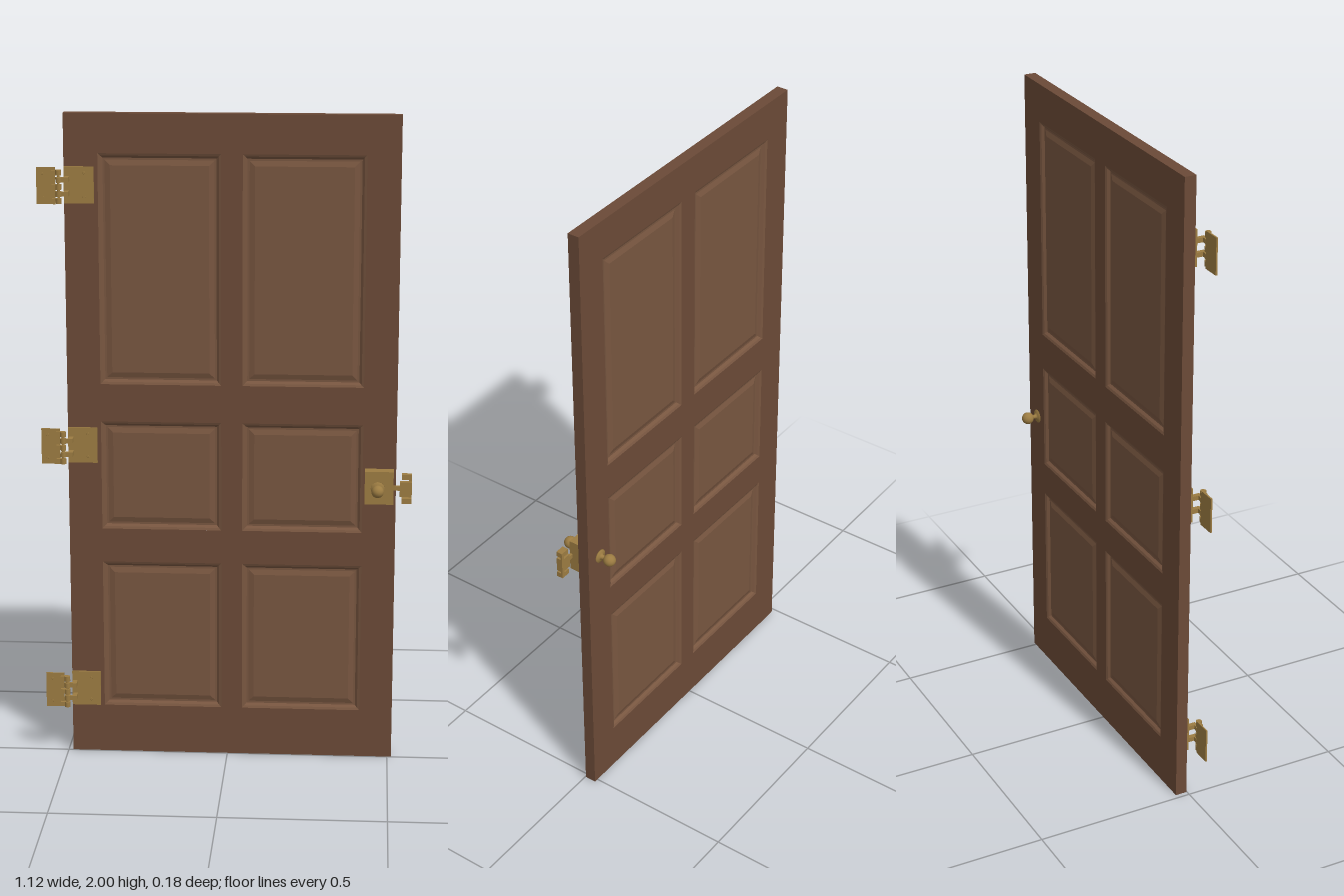
import * as THREE from 'three';

const wood = new THREE.MeshStandardMaterial({ color: 0x6b4a37 });
const panelWood = new THREE.MeshStandardMaterial({ color: 0x785640 });
const brass = new THREE.MeshStandardMaterial({ color: 0x9c7c42 });

function add(parent, name, geometry, material, x = 0, y = 0, z = 0) {
  const mesh = new THREE.Mesh(geometry, material);
  mesh.name = name;
  mesh.position.set(x, y, z);
  parent.add(mesh);
  return mesh;
}

// Box given by its limits on each axis
function block(parent, name, [x0, x1], [y0, y1], [z0, z1], material = brass) {
  return add(parent, name, new THREE.BoxGeometry(x1 - x0, y1 - y0, z1 - z0), material,
    (x0 + x1) / 2, (y0 + y1) / 2, (z0 + z1) / 2);
}

// Stepped rectangular panel: each step is [inset, depth], closed by a flat field
function panelGeometry(w, h, steps) {
  const loops = steps.map(([inset, depth]) => {
    const a = w / 2 - inset, b = h / 2 - inset;
    return [[-a, -b, -depth], [a, -b, -depth], [a, b, -depth], [-a, b, -depth]];
  });
  const pos = [];
  const quad = (a, b, c, d) => pos.push(...a, ...b, ...c, ...a, ...c, ...d);
  for (let s = 0; s < loops.length - 1; s++) {
    for (let i = 0; i < 4; i++) {
      const j = (i + 1) % 4;
      quad(loops[s][i], loops[s][j], loops[s + 1][j], loops[s + 1][i]);
    }
  }
  quad(...loops[loops.length - 1]);
  const geo = new THREE.BufferGeometry();
  geo.setAttribute('position', new THREE.Float32BufferAttribute(pos, 3));
  geo.computeVertexNormals();
  return geo;
}

function makeDoor() {
  const door = new THREE.Group();
  door.name = 'door';
  door.position.set(0.0135, 0, -0.02);
  const W = 0.998, T = 0.036, panelW = 0.366;
  const rows = [[0.152, 0.622], [0.728, 1.067], [1.183, 1.882]];
  const steps = [[0, 0], [0.007, 0.003], [0.014, 0.010], [0.02, 0.010], [0.036, 0.005]];

  const outline = new THREE.Shape();
  outline.moveTo(-W / 2, 0).lineTo(W / 2, 0).lineTo(W / 2, 2).lineTo(-W / 2, 2).closePath();
  for (const [y0, y1] of rows) {
    for (const cx of [-0.215, 0.215]) {
      const a = cx - panelW / 2, b = cx + panelW / 2;
      const hole = new THREE.Path();
      hole.moveTo(a, y0).lineTo(a, y1).lineTo(b, y1).lineTo(b, y0).closePath();
      outline.holes.push(hole);
      // The same sunk panel on both faces
      const geo = panelGeometry(panelW, y1 - y0, steps);
      add(door, 'frontPanel', geo, panelWood, cx, (y0 + y1) / 2, T / 2);
      add(door, 'backPanel', geo, panelWood, cx, (y0 + y1) / 2, -T / 2).rotation.y = Math.PI;
    }
  }
  const frame = new THREE.ExtrudeGeometry(outline, { depth: T, bevelEnabled: false });
  add(door, 'doorFrame', frame, wood, 0, 0, -T / 2);
  return door;
}

function makeHinge(y) {
  const hinge = new THREE.Group();
  hinge.name = 'hinge';
  hinge.position.y = y;
  const h = 0.055;
  block(hinge, 'doorLeaf', [-0.485, -0.396], [-h, h], [-0.002, 0.004]);
  block(hinge, 'wallLeaf', [-0.564, -0.508], [-h, h], [0.018, 0.023]);
  add(hinge, 'pin', new THREE.CylinderGeometry(0.004, 0.004, 0.1, 10), brass, -0.497, -0.003, 0.031);

  // Alternating knuckles, joined to one leaf or the other
  for (let i = 0; i < 5; i++) {
    const cy = 0.04 - i * 0.021;
    add(hinge, 'knuckle', new THREE.CylinderGeometry(0.009, 0.009, 0.016, 12), brass, -0.497, cy, 0.031);
    const span = [cy - 0.007, cy + 0.007];
    if (i % 2) {
      block(hinge, 'doorArm', [-0.492, -0.468], span, [0.024, 0.034]);
      block(hinge, 'doorPost', [-0.482, -0.468], span, [0, 0.028]);
    } else {
      block(hinge, 'wallArm', [-0.518, -0.5], span, [0.02, 0.033]);
    }
  }
  // Screws on both leaves
  for (const [x, z] of [[-0.425, 0.004], [-0.545, 0.023]]) {
    for (const sy of [-0.036, 0.036]) {
      add(hinge, 'screw', new THREE.CylinderGeometry(0.004, 0.005, 0.002, 8), brass, x, sy, z)
        .rotation.x = Math.PI / 2;
    }
  }
  return hinge;
}

// Flange, stem and ball turned about the axis
function makeKnob(name, z, direction) {
  const profile = [[0, 0], [0.021, 0], [0.021, 0.004], [0.013, 0.006], [0.007, 0.009], [0.006, 0.02]];
  for (let i = 0; i <= 12; i++) {
    const a = -1.2 + (i / 12) * (Math.PI / 2 + 1.2);
    profile.push([Math.max(0, 0.019 * Math.cos(a)), 0.036 + 0.019 * Math.sin(a)]);
  }
  const geo = new THREE.LatheGeometry(profile.map(p => new THREE.Vector2(...p)), 24);
  const knob = new THREE.Mesh(geo, brass);
  knob.name = name;
  knob.position.set(0.457, 0.88, z);
  knob.rotation.x = direction * Math.PI / 2;
  return knob;
}

function makeLock() {
  const lock = new THREE.Group();
  lock.name = 'rimLock';
  block(lock, 'lockCase', [0.418, 0.505], [0.83, 0.932], [-0.003, 0.036]);
  lock.add(makeKnob('frontKnob', 0.035, 1), makeKnob('backKnob', -0.037, -1));

  // Bolt reaching into the keeper beside the door
  block(lock, 'bolt', [0.5, 0.535], [0.874, 0.888], [0.026, 0.034]);
  block(lock, 'keeperMiddle', [0.524, 0.56], [0.857, 0.902], [0.022, 0.042]);
  block(lock, 'keeperPlate', [0.551, 0.56], [0.838, 0.925], [0.022, 0.027]);
  for (const cy of [0.843, 0.918]) {
    block(lock, 'keeperLug', [0.53, 0.56], [cy - 0.008, cy + 0.008], [0.022, 0.042]);
  }
  return lock;
}

export function createModel() {
  const model = new THREE.Group();
  model.name = 'panelledDoor';
  model.add(makeDoor(), makeLock());
  for (const y of [0.208, 0.993, 1.788]) model.add(makeHinge(y));
  return model;
}
